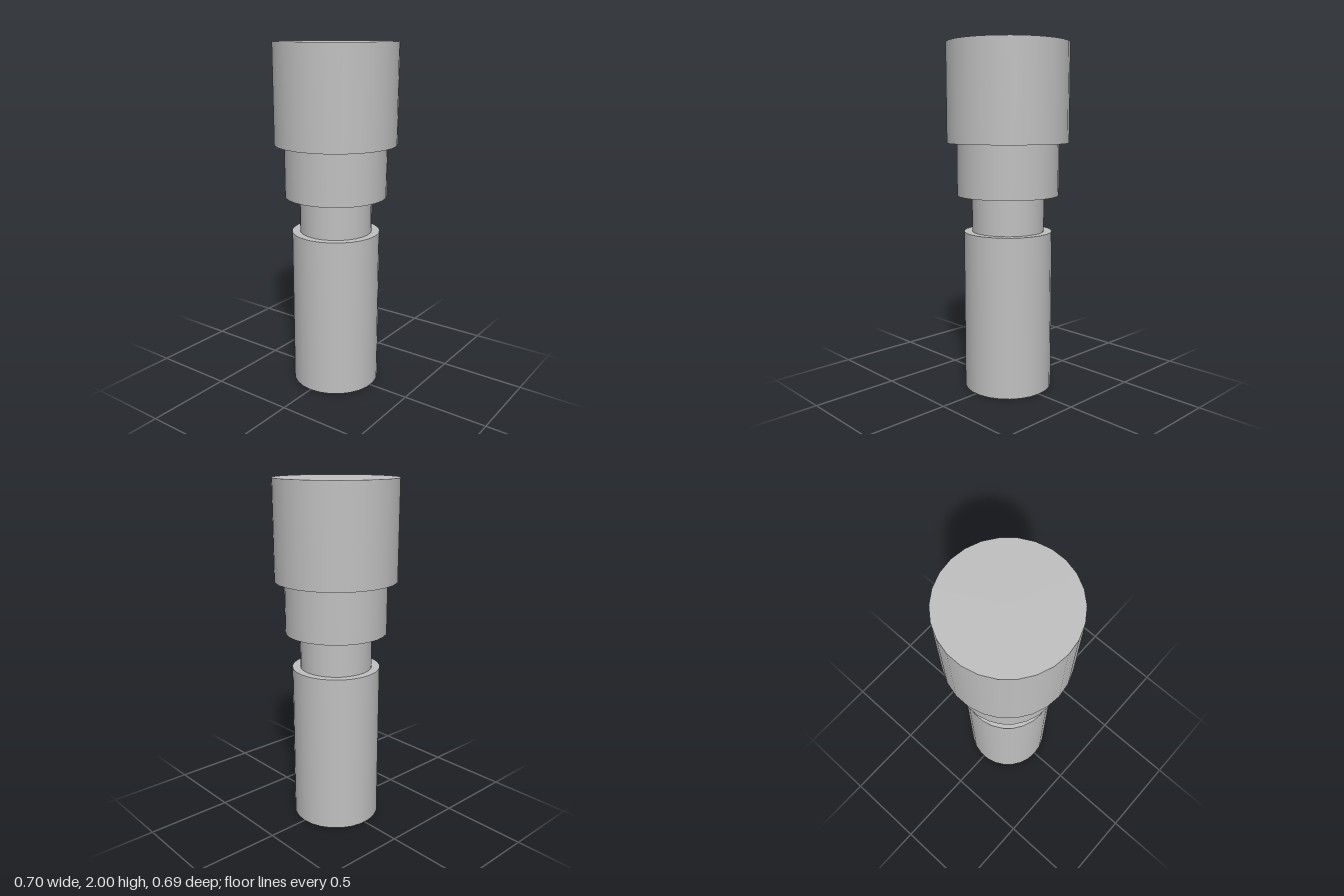
import * as THREE from 'three';

const SIDES = 26;

export function createModel() {
  const group = new THREE.Group();
  group.name = 'steppedPin';
  const steel = new THREE.MeshStandardMaterial({ color: 0xc0c0c0 });
  steel.name = 'grey steel';

  // Stacked coaxial sections: name, radius, bottom, top, open ends
  const sections = [
    ['shank', 0.256, 0, 0.93, false],
    ['neck', 0.209, 0.93, 1.14, true],
    ['collar', 0.294, 1.14, 1.44, false],
    ['head', 0.35, 1.44, 2, false],
  ];

  for (const [name, radius, bottom, top, open] of sections) {
    // Start angle puts a corner of the polygon on the x axis
    const geometry = new THREE.CylinderGeometry(
      radius, radius, top - bottom, SIDES, 1, open, Math.PI / 2);
    const mesh = new THREE.Mesh(geometry, steel);
    mesh.name = name;
    mesh.position.y = (bottom + top) / 2;
    group.add(mesh);
  }
  return group;
}
